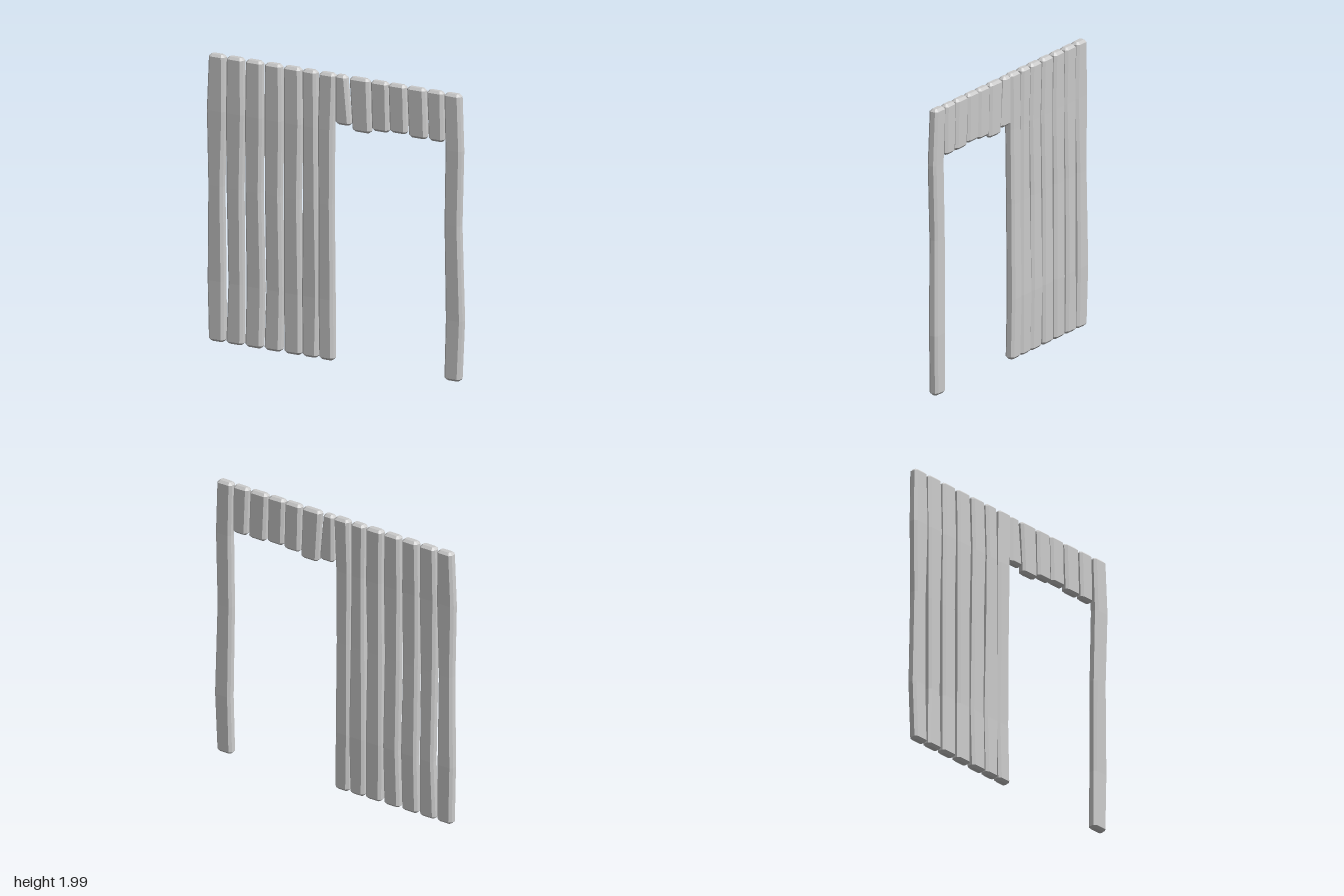
import * as THREE from 'three';

const TOP = 1.99, BEVEL = 0.017;

// Chamfered plank lofted through levels [y, left x, right x, z shift], bottom to top.
function plank(name, levels, halfDepth) {
  const rings = [];
  const ring = ([y, l, r, z], inset) => {
    const c = (l + r) / 2, w = (r - l) / 2 - inset, d = halfDepth - inset;
    const b = inset ? BEVEL * 0.5 : BEVEL;
    rings.push([[w, d - b], [w, b - d], [w - b, -d], [b - w, -d], [-w, b - d], [-w, d - b], [b - w, d], [w - b, d]]
      .map(([x, dz]) => [c + x, y, z + dz]));
  };
  const first = levels[0], last = levels[levels.length - 1];
  ring(first, BEVEL);
  ring([first[0] + BEVEL, ...first.slice(1)], 0);
  levels.slice(1, -1).forEach((level) => ring(level, 0));
  ring([last[0] - BEVEL, ...last.slice(1)], 0);
  ring(last, BEVEL);

  const pos = [];
  const tri = (...corners) => corners.forEach((p) => pos.push(...p));
  for (let i = 0; i < rings.length - 1; i++) {
    for (let j = 0; j < 8; j++) {
      const k = (j + 1) % 8;
      const [a, b, c, d] = [rings[i][j], rings[i][k], rings[i + 1][k], rings[i + 1][j]];
      tri(a, b, c);
      tri(a, c, d);
    }
  }
  // End caps
  const bottom = rings[0], top = rings[rings.length - 1];
  for (let j = 1; j < 7; j++) {
    tri(bottom[0], bottom[j + 1], bottom[j]);
    tri(top[0], top[j], top[j + 1]);
  }
  const geometry = new THREE.BufferGeometry();
  geometry.setAttribute('position', new THREE.Float32BufferAttribute(pos, 3));
  geometry.computeVertexNormals();
  const mesh = new THREE.Mesh(geometry, new THREE.MeshStandardMaterial({ color: 0xcccccc, flatShading: true }));
  mesh.name = name;
  return mesh;
}

export function createModel() {
  const group = new THREE.Group();
  group.name = 'plankWallWithDoorway';

  // Full-height planks: left and right edges at each level, warped slightly along the way
  const heights = [0, 0.42, 1.08, 1.6, TOP];
  const shifts = [0, -0.005, 0.002, 0.005, 0];
  const tall = [
    [-0.985, -0.865, -0.998, -0.870, -0.988, -0.875, -0.998, -0.858, -0.985, -0.865],
    [-0.848, -0.720, -0.835, -0.722, -0.845, -0.725, -0.848, -0.712, -0.845, -0.718],
    [-0.698, -0.570, -0.692, -0.563, -0.698, -0.575, -0.698, -0.565, -0.695, -0.570],
    [-0.548, -0.420, -0.538, -0.413, -0.545, -0.422, -0.546, -0.412, -0.546, -0.420],
    [-0.392, -0.265, -0.400, -0.268, -0.396, -0.275, -0.392, -0.262, -0.398, -0.270],
    [-0.250, -0.135, -0.258, -0.128, -0.248, -0.136, -0.245, -0.140, -0.252, -0.145],
    [-0.120, -0.010, -0.130, -0.015, -0.125, -0.018, -0.128, -0.012, -0.120, 0.000],
    [0.860, 0.982, 0.868, 0.998, 0.862, 0.982, 0.872, 0.998, 0.860, 0.982],
  ];
  tall.forEach((x, i) => {
    const levels = heights.map((y, j) => [y, x[2 * j], x[2 * j + 1], shifts[j]]);
    group.add(plank(i < 7 ? `wallPlank${i + 1}` : 'doorPostPlank', levels, 0.034));
  });

  // Short slanted planks over the doorway: bottom y, bottom edges, top edges
  const short = [
    [1.645, 0.005, 0.120, 0.005, 0.090],
    [1.615, 0.137, 0.278, 0.115, 0.265],
    [1.642, 0.290, 0.420, 0.282, 0.412],
    [1.652, 0.430, 0.560, 0.420, 0.552],
    [1.640, 0.580, 0.716, 0.565, 0.705],
    [1.640, 0.735, 0.850, 0.722, 0.845],
  ];
  short.forEach(([y, bl, br, tl, tr], i) => {
    group.add(plank(`lintelPlank${i + 1}`, [[y, bl, br, -0.002], [TOP, tl, tr, -0.002]], 0.031));
  });
  return group;
}
